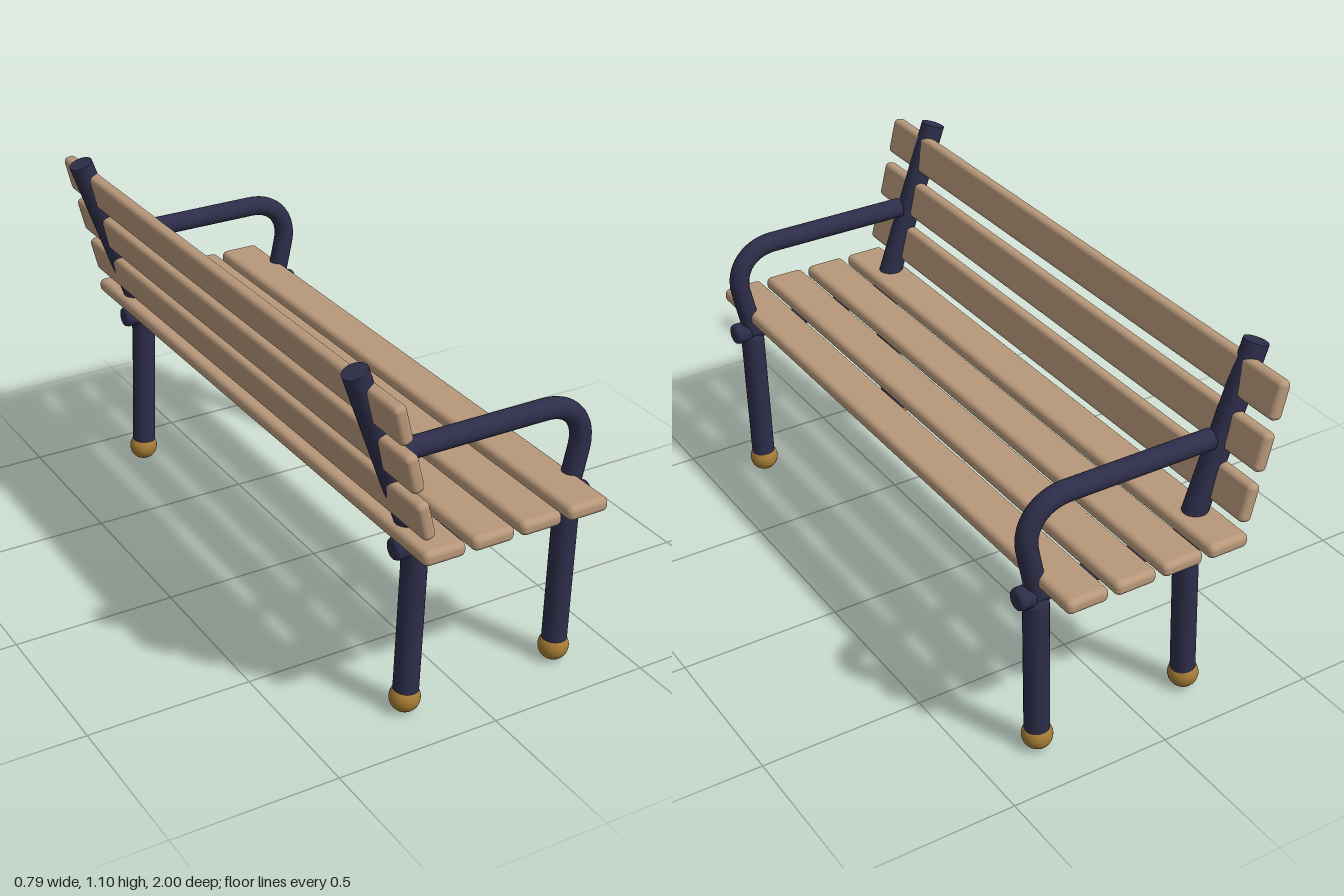
import * as THREE from 'three';
import { RoundedBoxGeometry } from 'three/addons/geometries/RoundedBoxGeometry.js';

const wood = new THREE.MeshStandardMaterial({ name: 'wood', color: 0xb8987a });
const navy = new THREE.MeshStandardMaterial({ name: 'navy paint', color: 0x2d2d4a });
const brass = new THREE.MeshStandardMaterial({ name: 'brass', color: 0xa67c35 });

const v = (x, y) => new THREE.Vector3(x, y, 0);

function add(parent, name, geometry, material, x = 0, y = 0, z = 0) {
  const mesh = new THREE.Mesh(geometry, material);
  mesh.name = name;
  mesh.position.set(x, y, z);
  parent.add(mesh);
  return mesh;
}

// Round pipe along joined curves, closed with a flat disc at each end
function pipe(parent, name, curves, radius, segments) {
  const path = new THREE.CurvePath();
  curves.forEach((c) => path.add(c));
  const group = new THREE.Group();
  group.name = name;
  add(group, name + 'Tube', new THREE.TubeGeometry(path, segments, radius, 24), navy);
  for (const t of [0, 1]) {
    const p = path.getPointAt(t);
    const dir = path.getTangentAt(t).multiplyScalar(t ? 1 : -1);
    const cap = add(group, name + 'End', new THREE.CircleGeometry(radius, 24), navy, p.x, p.y, p.z);
    cap.quaternion.setFromUnitVectors(new THREE.Vector3(0, 0, 1), dir);
  }
  parent.add(group);
}

// Short collar with rounded rims, lying along x
function collar(parent, name, x) {
  const r = 0.033, h = 0.028, e = 0.012;
  const profile = [[0, -h], [r - e, -h], [r - e * 0.3, -h + e * 0.3], [r, -h + e],
    [r, h - e], [r - e * 0.3, h - e * 0.3], [r - e, h], [0, h]]
    .map(([a, b]) => new THREE.Vector2(a, b));
  add(parent, name, new THREE.LatheGeometry(profile, 24), navy, x, 0.535).rotation.z = Math.PI / 2;
}

function sideFrame(z) {
  const frame = new THREE.Group();
  frame.name = z > 0 ? 'leftFrame' : 'rightFrame';
  frame.position.z = z;

  // Rear leg bends into the reclined back post
  pipe(frame, 'rearPost', [
    new THREE.LineCurve3(v(-0.187, 0.05), v(-0.171, 0.44)),
    new THREE.QuadraticBezierCurve3(v(-0.171, 0.44), v(-0.167, 0.54), v(-0.195, 0.62)),
    new THREE.LineCurve3(v(-0.195, 0.62), v(-0.361, 1.092)),
  ], 0.037, 60);

  // Front leg with rounded top
  pipe(frame, 'frontLeg', [new THREE.LineCurve3(v(0.316, 0.05), v(0.328, 0.5))], 0.037, 4);
  add(frame, 'frontLegTop', new THREE.SphereGeometry(0.037, 24, 16), navy, 0.328, 0.5);

  // Armrest curves down to the seat rail
  pipe(frame, 'armrest', [
    new THREE.LineCurve3(v(-0.228, 0.828), v(0.235, 0.828)),
    new THREE.CubicBezierCurve3(v(0.235, 0.828), v(0.325, 0.828), v(0.376, 0.76), v(0.358, 0.68)),
    new THREE.LineCurve3(v(0.358, 0.68), v(0.326, 0.535)),
  ], 0.031, 60);

  // Seat rail and end collars
  pipe(frame, 'seatRail', [new THREE.LineCurve3(v(-0.21, 0.535), v(0.365, 0.535))], 0.029, 4);
  collar(frame, 'rearCollar', -0.214);
  collar(frame, 'frontCollar', 0.367);

  // Ball feet
  for (const [name, x] of [['rearFoot', -0.189], ['frontFoot', 0.315]]) {
    add(frame, name, new THREE.SphereGeometry(0.045, 32, 20), brass, x, 0.045);
  }
  return frame;
}

export function createModel() {
  const bench = new THREE.Group();
  bench.name = 'bench';
  bench.add(sideFrame(0.829), sideFrame(-0.829));

  // Seat slats
  for (let i = 0; i < 4; i++) {
    add(bench, 'seatSlat', new RoundedBoxGeometry(0.131, 0.044, 2, 4, 0.018), wood,
      -0.182 + i * 0.1527, 0.589);
  }

  // Back slats, leaning back
  for (let i = 0; i < 3; i++) {
    add(bench, 'backSlat', new RoundedBoxGeometry(0.04, 0.117, 2, 4, 0.016), wood,
      -0.243 - i * 0.0375, 0.706 + i * 0.148).rotation.z = 0.24;
  }
  return bench;
}
